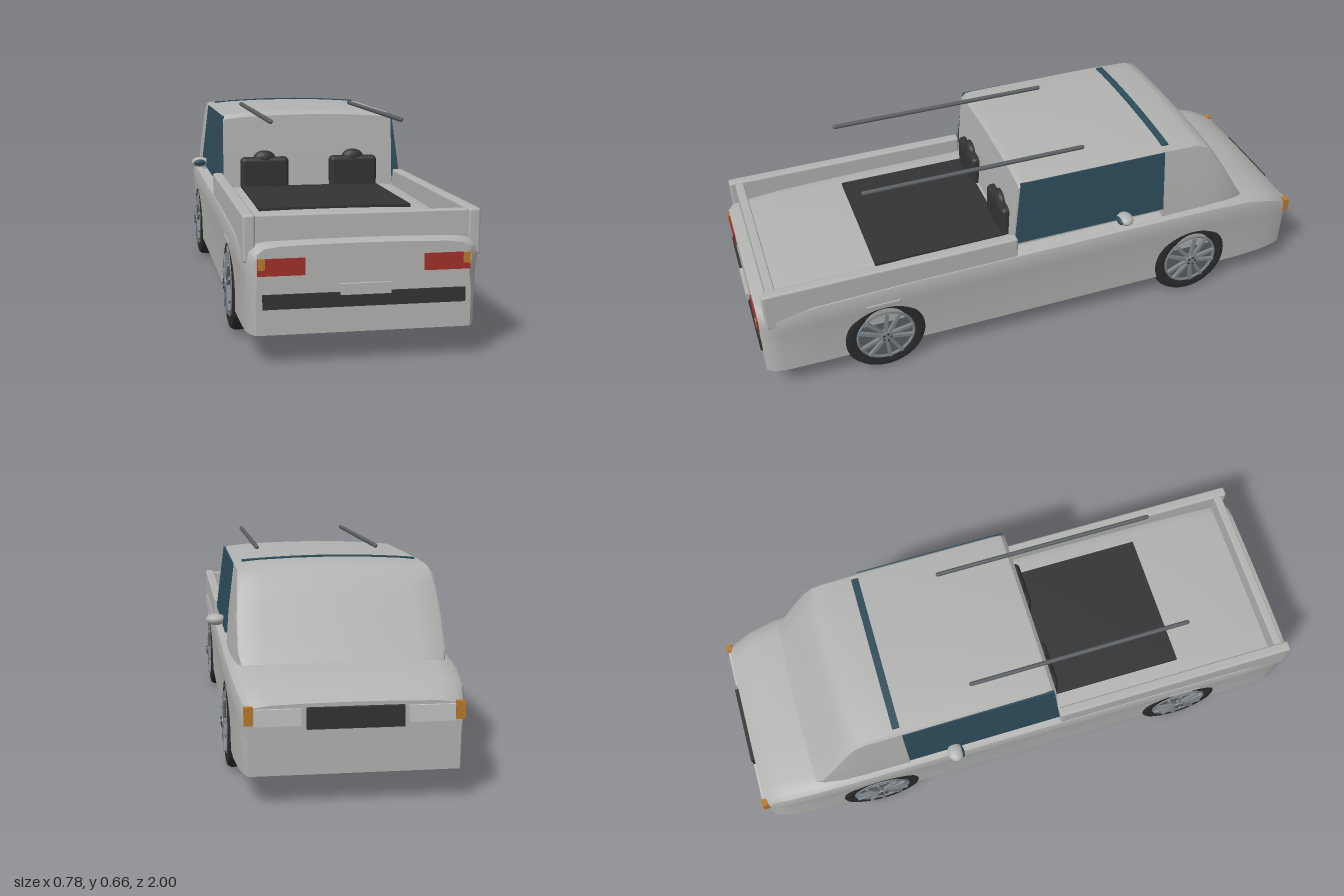
import * as THREE from 'three';
import { toCreasedNormals } from 'three/addons/utils/BufferGeometryUtils.js';
import { RoundedBoxGeometry } from 'three/addons/geometries/RoundedBoxGeometry.js';

const mat = (name, color) => {
  const m = new THREE.MeshStandardMaterial({ color });
  m.name = name;
  return m;
};

// Skin closed rings (counter-clockwise seen from +z, ordered by rising z) and cap both ends
function loft(rings, crease = 0.6) {
  const pos = [], n = rings[0].length;
  const tri = (a, b, c) => pos.push(...a, ...b, ...c);
  for (let k = 0; k < rings.length - 1; k++) {
    for (let j = 0; j < n; j++) {
      const i = (j + 1) % n, p = rings[k], q = rings[k + 1];
      tri(p[j], p[i], q[i]);
      tri(p[j], q[i], q[j]);
    }
  }
  const centre = r => [0, 1, 2].map(a => r.reduce((s, p) => s + p[a], 0) / n);
  const first = rings[0], last = rings[rings.length - 1];
  for (let j = 0; j < n; j++) {
    const i = (j + 1) % n;
    tri(centre(last), last[j], last[i]);
    tri(centre(first), first[i], first[j]);
  }
  const g = new THREE.BufferGeometry();
  g.setAttribute('position', new THREE.Float32BufferAttribute(pos, 3));
  return toCreasedNormals(g, crease);
}

// Mirror a right-hand half outline (bottom to top centre) into a full ring
const mirrorRing = half => [...half, ...half.slice(0, -1).reverse().map(([x, y, z]) => [-x, y, z])];

export function createModel() {
  const root = new THREE.Group();
  root.name = 'pickup';
  const paint = mat('grey paint', 0xb2b2b0);
  const glass = mat('blue glass', 0x2d4c5a);
  const black = mat('black trim', 0x333333);
  const rubber = mat('tyre rubber', 0x2b2b2b);
  const alloy = mat('wheel alloy', 0x7c8388);
  const steel = mat('bar steel', 0x5a5e62);
  const red = mat('red lens', 0xa2302a);
  const amber = mat('amber lens', 0xb8782c);
  const pale = mat('pale lens', 0xc2c4c4);

  const add = (name, geo, m, x = 0, y = 0, z = 0, parent = root) => {
    const mesh = new THREE.Mesh(geo, m);
    mesh.name = name;
    mesh.position.set(x, y, z);
    parent.add(mesh);
    return mesh;
  };
  // Box given by its limits
  const slab = (name, m, x0, x1, y0, y1, z0, z1, r = 0) => {
    const s = [x1 - x0, y1 - y0, z1 - z0];
    const g = r ? new RoundedBoxGeometry(...s, 3, r) : new THREE.BoxGeometry(...s);
    return add(name, g, m, (x0 + x1) / 2, (y0 + y1) / 2, (z0 + z1) / 2);
  };

  // Lower body: z, sill half width, shoulder half width, deck height
  const stations = [
    [-0.985, 0.305, 0.312, 0.298], [-0.96, 0.315, 0.322, 0.318], [-0.9, 0.327, 0.335, 0.344],
    [-0.8, 0.335, 0.346, 0.37], [-0.65, 0.338, 0.352, 0.382], [-0.3, 0.338, 0.352, 0.382],
    [0.45, 0.338, 0.352, 0.377], [0.8, 0.338, 0.352, 0.368], [0.93, 0.335, 0.347, 0.356],
    [0.965, 0.326, 0.337, 0.352], [0.988, 0.31, 0.312, 0.346],
  ];
  add('body', loft(stations.map(([z, wb, wm, top]) => mirrorRing([
    [wb, 0.09, z], [wb + 0.002, 0.2, z], [wm - 0.006, top - 0.1, z], [wm, top - 0.05, z],
    [wm - 0.006, top - 0.025, z], [wm - 0.025, top - 0.01, z], [wm - 0.07, top - 0.004, z],
    [wm * 0.4, top - 0.001, z], [0, top, z],
  ]))), paint);

  // Cab: z, roof height, base half width, taper of the side wall
  const cabStations = [
    [-0.795, 0.365, 0.3, 0.13], [-0.755, 0.42, 0.315, 0.13], [-0.7, 0.512, 0.326, 0.13],
    [-0.65, 0.592, 0.331, 0.13], [-0.615, 0.633, 0.333, 0.13], [-0.575, 0.646, 0.333, 0.13],
    [-0.451, 0.65, 0.334, 0.13], [-0.45, 0.65, 0.307, 0.01], [0.06, 0.648, 0.307, 0.01],
    [0.09, 0.645, 0.307, 0.01], [0.103, 0.632, 0.306, 0.01],
  ];
  add('cab', loft(cabStations.map(([z, top, w, taper]) => {
    const low = 0.33, edge = top - 0.016;
    const lean = y => z > 0 ? z - Math.max(0, y - 0.4) * 0.08 : z;
    const wide = y => w - Math.max(0, y - 0.4) * taper;
    const p = (x, y) => [x, y, lean(y)];
    const we = wide(edge);
    return mirrorRing([p(w, low), p(wide((low + edge) / 2), (low + edge) / 2), p(we, edge - 0.006),
      p(we - 0.008, edge + 0.002), p(we * 0.75, top - 0.007), p(we * 0.4, top - 0.002), p(0, top)]);
  })), paint);

  // Side windows fill the recess beside the cab
  for (const s of [-1, 1]) {
    const ring = (zLow, zHigh) => {
      const r = [[0.3, 0.405, zLow], [0.336, 0.405, zLow], [0.3085, 0.628, zHigh], [0.3, 0.628, zHigh]]
        .map(([x, y, z]) => [x * s, y, z]);
      return s > 0 ? r : r.reverse();
    };
    add('sideWindow', loft([ring(-0.45, -0.45), ring(0.098, 0.078)], 0.2), glass);
  }
  // Curved glass strip across the roof
  const strip = new THREE.BoxGeometry(0.56, 0.006, 0.025, 12, 1, 1);
  const sp = strip.attributes.position;
  for (let i = 0; i < sp.count; i++) sp.setY(i, sp.getY(i) - Math.pow(sp.getX(i) / 0.28, 2) * 0.011);
  strip.computeVertexNormals();
  add('roofGlassStrip', strip, glass, 0, 0.65, -0.463);

  // Cargo bed
  for (const s of [-1, 1]) {
    const x = s * 0.326;
    slab('bedWall', paint, x - 0.018, x + 0.018, 0.293, 0.43, 0.1, 0.968, 0.008);
  }
  slab('tailgate', paint, -0.312, 0.312, 0.32, 0.425, 0.918, 0.948, 0.005);
  slab('bedMat', black, -0.245, 0.245, 0.36, 0.381, 0.11, 0.575);

  for (const s of [-1, 1]) {
    // Seat backs standing at the rear of the cab
    const seat = new THREE.Group();
    seat.name = 'seat';
    seat.position.set(s * 0.16, 0, 0.1);
    root.add(seat);
    add('seatBack', new RoundedBoxGeometry(0.172, 0.115, 0.045, 4, 0.016), black, 0, 0.426, 0, seat);
    const head = add('headrest', new THREE.SphereGeometry(0.04, 20, 14), black, 0, 0.478, 0, seat);
    head.scale.set(1, 0.72, 0.55);

    // Roof bars
    const bar = add('roofBar', new THREE.CapsuleGeometry(0.0075, 0.765, 4, 12), steel, s * 0.208, 0.652, 0.2);
    bar.rotation.x = Math.PI / 2;

    // Door mirrors
    const shell = add('mirrorShell', new THREE.SphereGeometry(1, 24, 16), paint, s * 0.357, 0.421, -0.29);
    shell.scale.set(0.034, 0.019, 0.028);
    const pane = add('mirrorGlass', new THREE.SphereGeometry(1, 20, 12), glass, s * 0.36, 0.421, -0.268);
    pane.scale.set(0.023, 0.012, 0.008);

    // Lamps at both ends
    const lamp = (name, m, a, b, y0, y1, z0, z1) =>
      slab(name, m, Math.min(s * a, s * b), Math.max(s * a, s * b), y0, y1, z0, z1);
    lamp('tailLamp', red, 0.172, 0.307, 0.26, 0.309, 0.985, 0.993);
    lamp('tailIndicator', amber, 0.286, 0.306, 0.278, 0.309, 0.988, 0.996);
    lamp('headLamp', pale, 0.155, 0.288, 0.235, 0.284, -0.993, -0.984);
    lamp('noseIndicator', amber, 0.29, 0.316, 0.24, 0.292, -0.996, -0.976);

    // Lip over the cargo-end wheel
    const lipX = s * 0.343;
    slab('wheelLip', paint, lipX - 0.008, lipX + 0.008, 0.281, 0.296, 0.52, 0.64, 0.005);
  }
  slab('bumperStrip', black, -0.293, 0.293, 0.165, 0.207, 0.986, 0.995);
  slab('numberPlate', paint, -0.073, 0.073, 0.2, 0.232, 0.988, 1);
  slab('grille', black, -0.14, 0.14, 0.225, 0.286, -1, -0.984);

  // Wheels: axle along local y, outer face at +y
  const pt = ([r, y]) => new THREE.Vector2(r, y);
  const tyreGeo = toCreasedNormals(new THREE.LatheGeometry([[0.1, -0.034], [0.125, -0.04], [0.138, -0.036],
    [0.145, -0.025], [0.145, 0.025], [0.138, 0.036], [0.125, 0.04], [0.104, 0.036], [0.1, 0.03],
    [0.1, -0.034]].map(pt), 48), 0.6);
  const rimGeo = new THREE.LatheGeometry([[0.092, -0.036], [0.103, -0.036], [0.103, 0.038],
    [0.098, 0.041], [0.093, 0.036], [0.092, -0.036]].map(pt), 40);
  const discGeo = new THREE.CylinderGeometry(0.094, 0.094, 0.012, 32);
  const spokeGeo = new THREE.BoxGeometry(0.084, 0.012, 0.011);
  const hubGeo = new THREE.CylinderGeometry(0.02, 0.026, 0.022, 20);
  const nutGeo = new THREE.CylinderGeometry(0.004, 0.004, 0.006, 8);
  for (const s of [-1, 1]) {
    for (const z of [-0.58, 0.58]) {
      const wheel = new THREE.Group();
      wheel.name = 'wheel';
      wheel.position.set(s * 0.306, 0.145, z);
      wheel.rotation.z = -s * Math.PI / 2;
      root.add(wheel);
      add('tyre', tyreGeo, rubber, 0, 0, 0, wheel);
      add('rim', rimGeo, alloy, 0, 0, 0, wheel);
      add('brakeDisc', discGeo, steel, 0, 0.028, 0, wheel);
      add('hub', hubGeo, alloy, 0, 0.04, 0, wheel);
      for (let i = 0; i < 5; i++) {
        const spoke = new THREE.Group();
        spoke.name = 'spoke';
        spoke.rotation.y = i * Math.PI * 0.4 + Math.PI / 2;
        wheel.add(spoke);
        for (const side of [-1, 1]) {
          const arm = add('spokeArm', spokeGeo, alloy, 0.054, 0.041, side * 0.014, spoke);
          arm.rotation.y = -side * 0.2;
        }
        add('wheelNut', nutGeo, black, 0.014, 0.051, 0, spoke);
      }
    }
  }
  return root;
}
